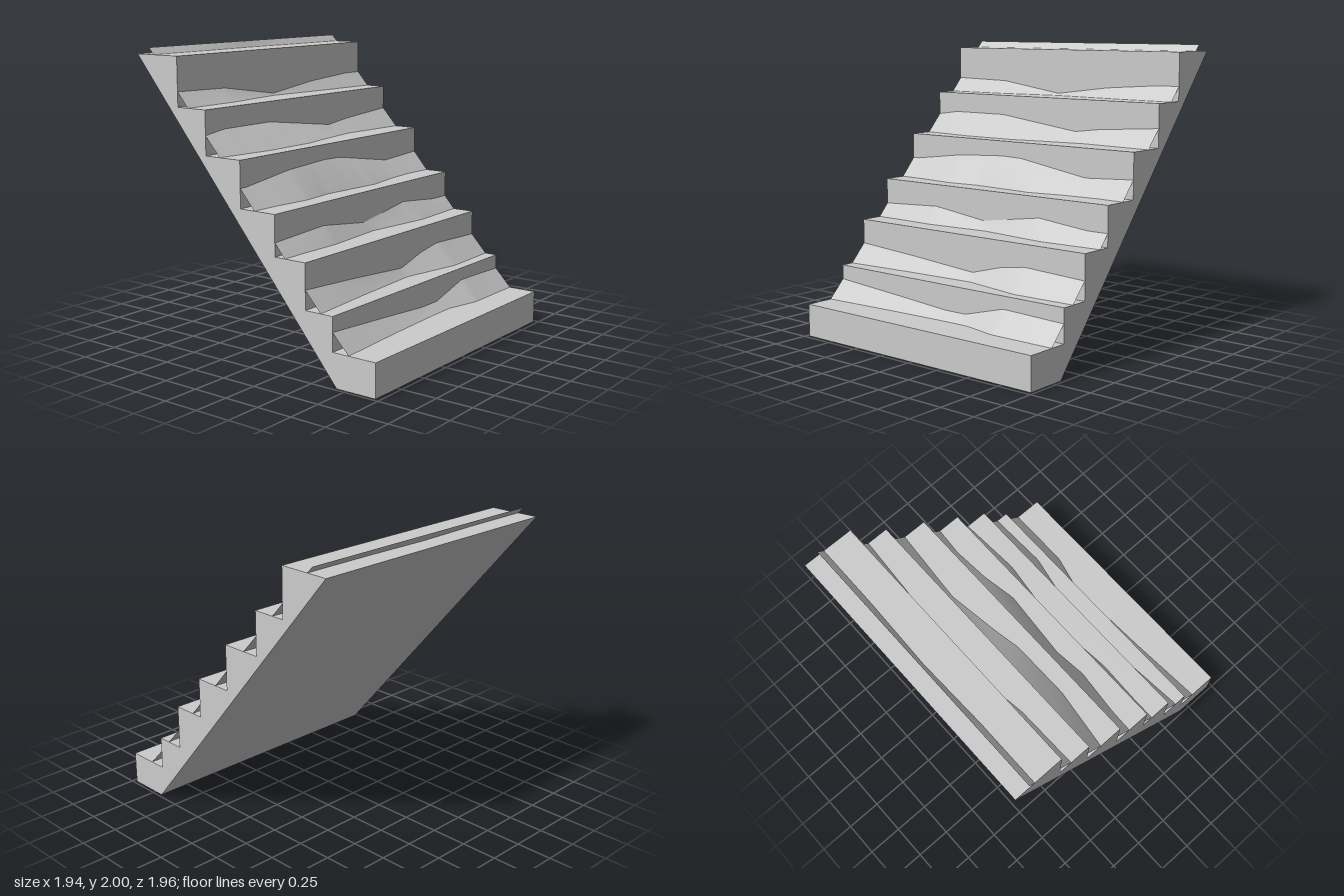
import * as THREE from 'three';

const HALF = 0.98;
const TOP_Y = 1.955;
// Each step: x of its riser, y of the tread at its foot, and the wavy lines where
// the ramp meets them: the value shared by both ends, then [z, value] bends between
const STEPS = [
  { x: -0.61, y: 1.625,
    riser: [1.725, [-0.82, 1.725], [-0.4, 1.695], [0.03, 1.64], [0.53, 1.715]],
    tread: [-0.52, [-0.5, -0.55], [0.04, -0.6], [0.54, -0.53]] },
  { x: -0.37, y: 1.33,
    riser: [1.46, [-0.5, 1.425], [-0.3, 1.4], [0.35, 1.485], [0.8, 1.485]],
    tread: [-0.25, [-0.43, -0.29], [-0.05, -0.235], [0.13, -0.2], [0.55, -0.195]] },
  { x: -0.08, y: 1.02,
    riser: [1.15, [-0.6, 1.13], [-0.05, 1.22], [0.12, 1.225], [0.5, 1.205], [0.93, 1.15]],
    tread: [0.035, [-0.77, 0.02], [-0.5, 0.04], [-0.25, 0.085], [0.25, 0.045], [0.48, 0.07], [0.8, 0.04]] },
  { x: 0.2, y: 0.75,
    riser: [0.84, [-0.82, 0.84], [-0.43, 0.88], [0.05, 0.81], [0.49, 0.865]],
    tread: [0.28, [-0.52, 0.307], [0, 0.245], [0.48, 0.29], [0.8, 0.28]] },
  { x: 0.44, y: 0.45,
    riser: [0.578, [-0.5, 0.6], [-0.3, 0.57], [-0.06, 0.505], [0.5, 0.548]],
    tread: [0.56, [-0.53, 0.575], [-0.07, 0.485], [0.5, 0.52]] },
  { x: 0.65, y: 0.225,
    riser: [0.35, [-0.5, 0.365], [-0.18, 0.28], [0, 0.28], [0.4, 0.31]],
    tread: [0.77, [-0.5, 0.77], [-0.25, 0.71], [0, 0.715], [0.43, 0.735]] },
];
const TOP_LINE = [-0.82, [-0.5, -0.822], [0, -0.835], [0.5, -0.82]];

// Value of a wavy line at z
function sample([end, ...bends], z) {
  const points = [[-HALF, end], ...bends, [HALF, end]];
  const i = Math.max(1, points.findIndex((p) => z <= p[0] + 1e-9));
  const [z0, v0] = points[i - 1], [z1, v1] = points[i];
  return THREE.MathUtils.mapLinear(z, z0, z1, v0, v1);
}

// Solid flight of steps with a sloping underside
function makeSteps() {
  const shape = new THREE.Shape();
  shape.moveTo(0.68, 0);
  shape.lineTo(0.97, 0);
  for (const s of [...STEPS].reverse()) {
    shape.lineTo(shape.currentPoint.x, s.y);
    shape.lineTo(s.x, s.y);
  }
  shape.lineTo(STEPS[0].x, TOP_Y);
  shape.lineTo(-0.97, TOP_Y);
  shape.closePath();
  const geo = new THREE.ExtrudeGeometry(shape, { depth: HALF * 2, bevelEnabled: false });
  return geo.translate(0, 0, -HALF);
}

// Thin undulating ramp that runs down through the steps
function makeRamp() {
  const rows = [() => [-0.862, 2], (z) => [sample(TOP_LINE, z), TOP_Y]];
  for (const s of STEPS) {
    rows.push((z) => [s.x, sample(s.riser, z)]);
    rows.push((z) => [sample(s.tread, z), s.y]);
  }
  const cols = 64, n = cols + 1, pos = [], index = [];
  rows.forEach((row, i) => {
    for (let j = 0; j <= cols; j++) {
      const z = -HALF + (2 * HALF * j) / cols;
      pos.push(...row(z), z);
      if (i < rows.length - 1 && j < cols) {
        const a = i * n + j;
        index.push(a, a + 1, a + n, a + 1, a + n + 1, a + n);
      }
    }
  });
  const geo = new THREE.BufferGeometry();
  geo.setAttribute('position', new THREE.Float32BufferAttribute(pos, 3));
  geo.setIndex(index);
  geo.computeVertexNormals();
  return geo;
}

export function createModel() {
  const group = new THREE.Group();
  group.name = 'staircase';

  const steps = new THREE.Mesh(makeSteps(), new THREE.MeshStandardMaterial({ color: 0xcccccc }));
  steps.name = 'steps';

  const ramp = new THREE.Mesh(makeRamp(), new THREE.MeshStandardMaterial({ color: 0xcccccc, side: THREE.DoubleSide }));
  ramp.name = 'wavyRamp';

  group.add(steps, ramp);
  return group;
}
